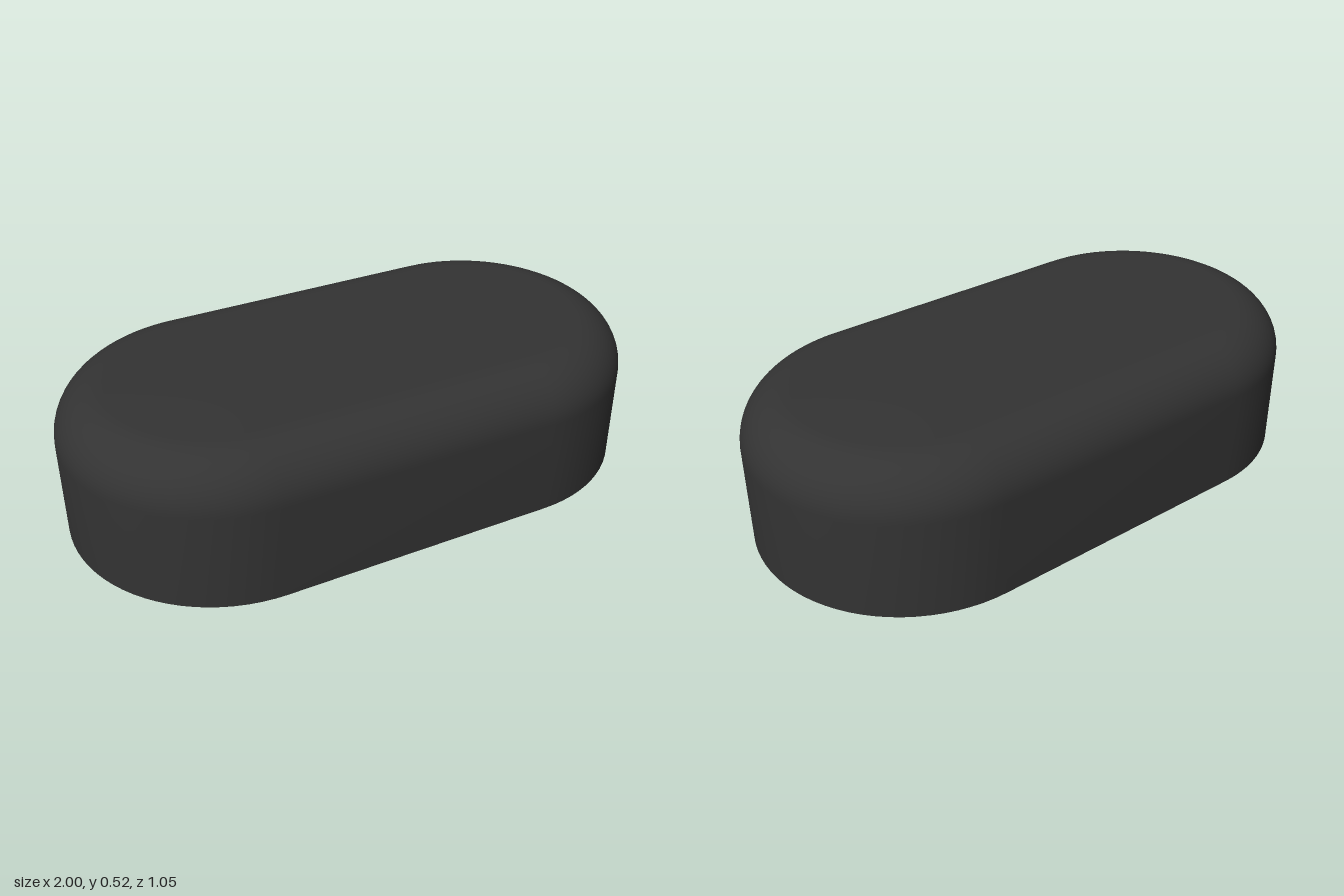
import * as THREE from 'three';
import { toCreasedNormals } from 'three/addons/utils/BufferGeometryUtils.js';

const RADIUS = 0.525, HALF_STRAIGHT = 0.475;
const TOP = 0.52, BASE = 0.012, FILLET = 0.17;

const material = (name, color) => {
  const m = new THREE.MeshStandardMaterial({ color });
  m.name = name;
  return m;
};

// Capsule outline in x/z, shrunk by an inset
function outline(inset, arcSteps = 40) {
  const r = RADIUS - inset, points = [];
  for (const [centre, start] of [[HALF_STRAIGHT, -Math.PI / 2], [-HALF_STRAIGHT, Math.PI / 2]]) {
    for (let i = 0; i <= arcSteps; i++) {
      const a = start + (i / arcSteps) * Math.PI;
      points.push(new THREE.Vector2(centre + r * Math.cos(a), r * Math.sin(a)));
    }
  }
  return points;
}

// Skin of capsule rings following a profile of [inset, y], closed by a top fan
function shellGeometry(profile) {
  const positions = [], index = [];
  let n = 0;
  for (const [inset, y] of profile) {
    const ring = outline(inset);
    n = ring.length;
    ring.forEach((p) => positions.push(p.x, y, p.y));
  }
  for (let j = 0; j < profile.length - 1; j++) {
    for (let i = 0; i < n; i++) {
      const a = j * n + i, b = j * n + (i + 1) % n;
      index.push(a, a + n, b, b, a + n, b + n);
    }
  }
  const last = (profile.length - 1) * n, centre = positions.length / 3;
  positions.push(0, profile[profile.length - 1][1], 0);
  for (let i = 0; i < n; i++) index.push(last + i, centre, last + (i + 1) % n);
  const g = new THREE.BufferGeometry();
  g.setAttribute('position', new THREE.Float32BufferAttribute(positions, 3));
  g.setIndex(index);
  return toCreasedNormals(g, 0.5);
}

export function createModel() {
  const model = new THREE.Group();
  const shellBlack = material('shell black', 0x333333);
  const panelBlack = material('panel black', 0x303030);
  const gold = material('contact gold', 0x997a2e);

  const add = (name, geometry, mat, x = 0, y = 0, z = 0) => {
    const mesh = new THREE.Mesh(geometry, mat);
    mesh.name = name;
    mesh.position.set(x, y, z);
    model.add(mesh);
    return mesh;
  };

  // Shell: groove wall, bottom rim, side wall, then rounded top edge
  const profile = [[0.075, 0.03], [0.05, 0.03], [0.05, BASE], [0, BASE]];
  for (let i = 0; i <= 14; i++) {
    const a = (i / 14) * Math.PI / 2;
    profile.push([FILLET * (1 - Math.cos(a)), TOP - FILLET + FILLET * Math.sin(a)]);
  }
  add('shell', shellGeometry(profile), shellBlack);

  // Bottom panel with round contact holes
  const contacts = [[0.21, 0], [0.005, 0], [-0.2, 0], [-0.345, 0.21], [-0.345, -0.21]];
  const holeRadius = 0.052, panelDepth = 0.04;
  const panelShape = new THREE.Shape(outline(0.062));
  for (const [x, z] of contacts) {
    panelShape.holes.push(new THREE.Path().absarc(x, z, holeRadius, 0, Math.PI * 2, true));
  }
  const panel = new THREE.ExtrudeGeometry(panelShape, {
    depth: panelDepth, bevelEnabled: false, curveSegments: 16,
  });
  panel.rotateX(Math.PI / 2);
  add('bottomPanel', toCreasedNormals(panel, 0.6), panelBlack, 0, BASE + panelDepth, 0);

  // Gold contacts sunk in the holes
  const pad = new THREE.CylinderGeometry(holeRadius, holeRadius, 0.01, 32);
  for (const [x, z] of contacts) add('contact', pad, gold, x, 0.047, z);

  // Raised rectangular pad under one end
  add('raisedPad', new THREE.BoxGeometry(0.28, 0.016, 0.41), panelBlack, 0.637, 0.008, 0);

  return model;
}
